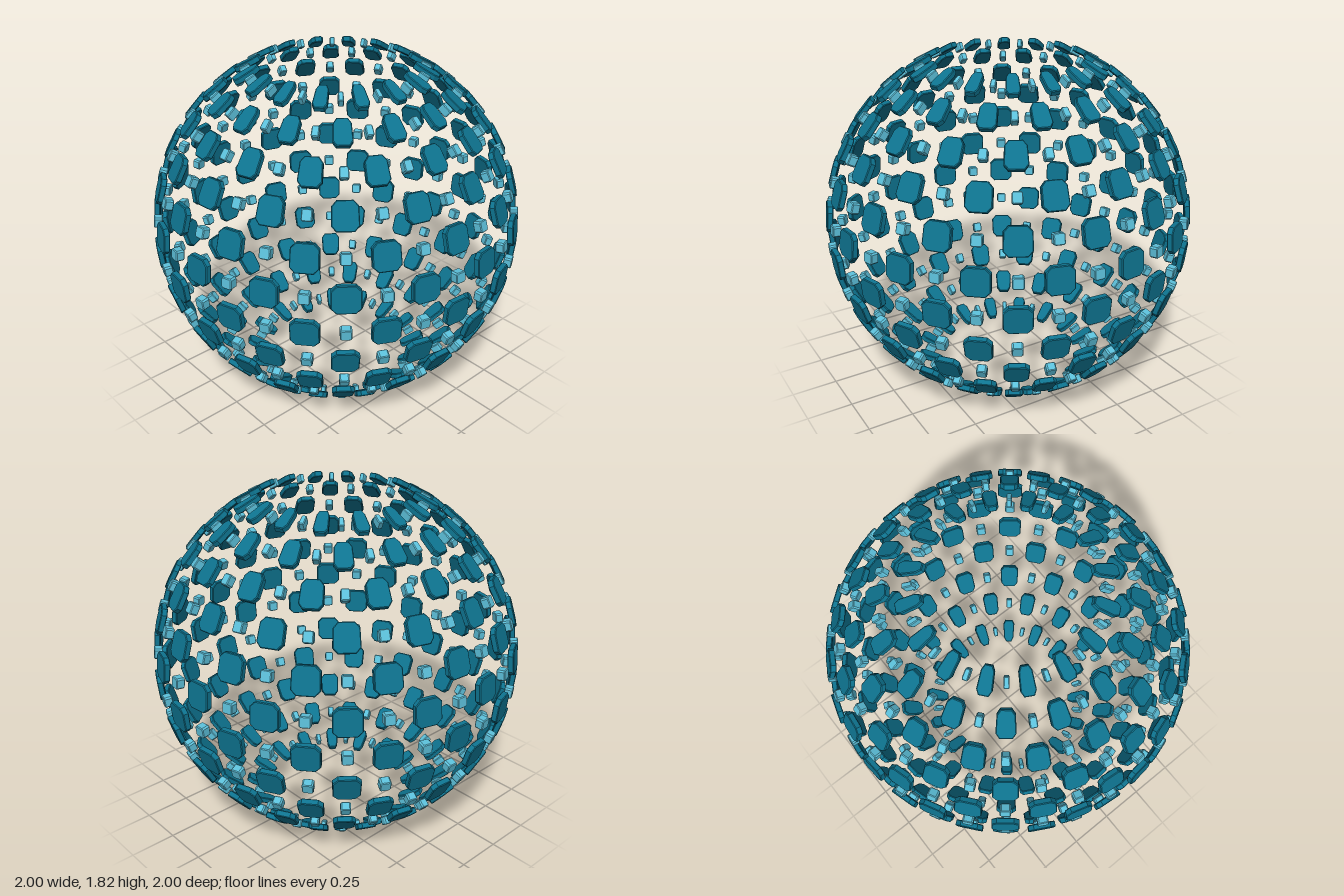
import * as THREE from 'three';

const COLUMNS = 32, ROWS = 12, STEP = Math.PI * 2 / COLUMNS;

// Chamfered block, narrowed and tapered toward the pole like its cell on the sphere
function blockGeometry(size, cut, thickness, bevel, lat) {
  const h = size / 2, c = h - cut;
  const outline = [[h, -c], [h, c], [c, h], [-c, h], [-h, c], [-h, -c], [-c, -h], [c, -h]];
  const points = outline.map(([x, y]) => new THREE.Vector2(x * Math.cos(lat + y), y));
  const geometry = new THREE.ExtrudeGeometry(new THREE.Shape(points), {
    depth: thickness - 2 * bevel,
    bevelEnabled: true, bevelThickness: bevel, bevelSize: bevel, bevelOffset: -bevel, bevelSegments: 1,
  });
  geometry.translate(0, 0, bevel - thickness / 2);
  return geometry;
}

export function createModel() {
  const model = new THREE.Group();
  model.name = 'tiledSphere';
  const tileMaterial = new THREE.MeshStandardMaterial({ color: 0x0e7490 });
  tileMaterial.name = 'deepTeal';
  const studMaterial = new THREE.MeshStandardMaterial({ color: 0x5cc0da });
  studMaterial.name = 'lightCyan';

  // Checkerboard of large tiles and small studs, open at both poles
  for (let j = 0; j < ROWS; j++) {
    const lat = (j - ROWS / 2 + 0.5) * STEP;
    const row = new THREE.Group();
    row.name = `row${j + 1}`;
    const tile = blockGeometry(0.144, 0.027, 0.032, 0.004, lat);
    const stud = blockGeometry(0.058, 0.008, 0.045, 0.004, lat);
    for (let i = 0; i < COLUMNS; i++) {
      const lon = (i + 0.5) * STEP;
      const isTile = (i + j) % 2 === 0;
      const mesh = new THREE.Mesh(isTile ? tile : stud, isTile ? tileMaterial : studMaterial);
      mesh.name = isTile ? 'tile' : 'stud';
      mesh.rotation.set(-lat, lon, 0, 'YXZ');
      mesh.position.set(0, 0, isTile ? 0.982 : 0.978).applyEuler(mesh.rotation);
      row.add(mesh);
    }
    model.add(row);
  }

  // Rest the lowest row on the ground
  const bottom = new THREE.Box3().setFromObject(model, true).min.y;
  model.children.forEach((row) => { row.position.y = -bottom; });
  return model;
}
